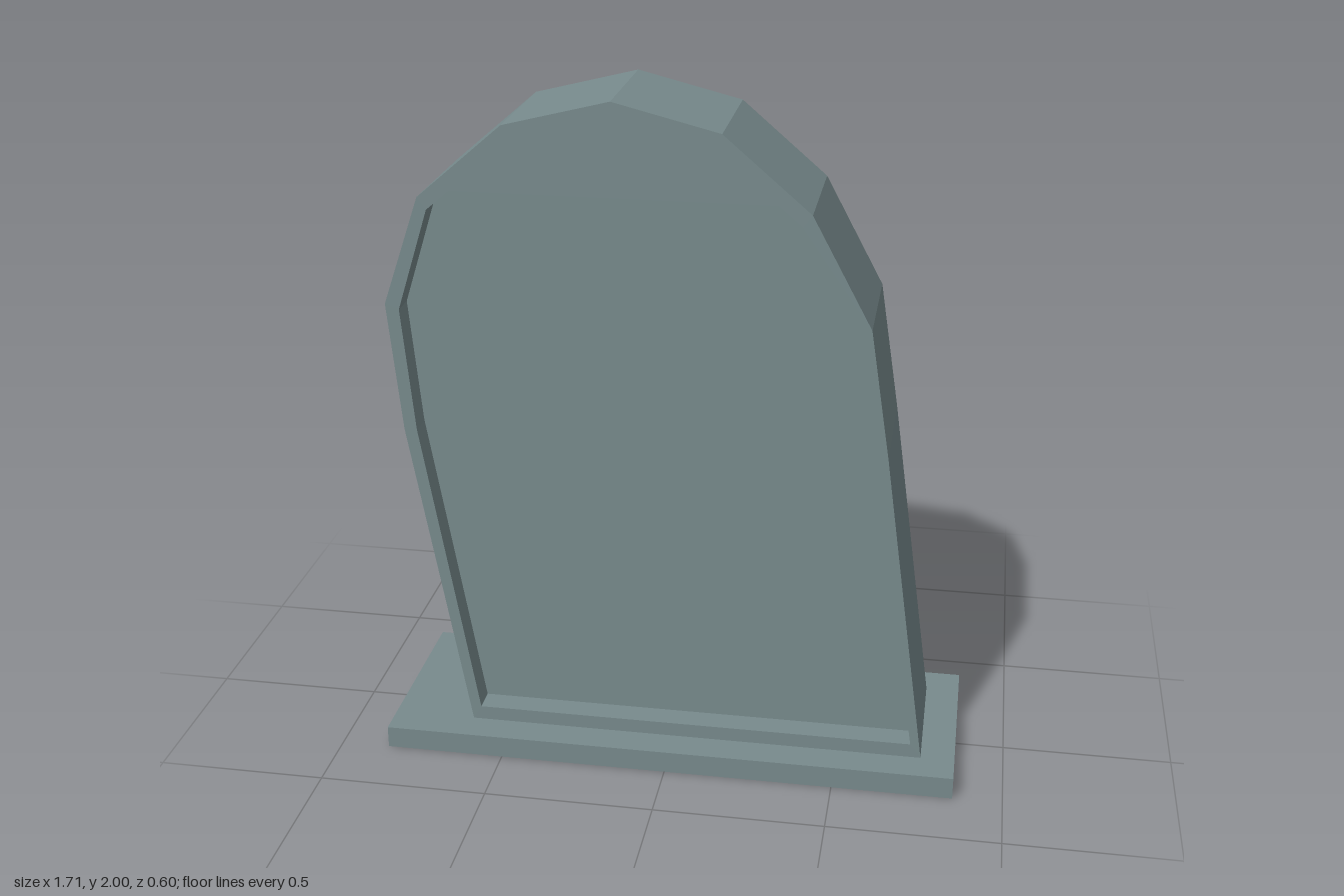
import * as THREE from 'three';

// Leaning slab outline, counter-clockwise from the lower left corner
const outer = [
  [-0.61, 0.067], [0.755, 0.067], [0.62, 1.02], [0.56, 1.4], [0.39, 1.715], [0.145, 1.925],
  [-0.155, 2], [-0.455, 1.925], [-0.7, 1.715], [-0.81, 1.4], [-0.775, 1.02],
];
// Edge of the recessed front panel
const inner = [
  [-0.585, 0.11], [0.723, 0.11], [0.583, 1.02], [0.52, 1.385], [0.365, 1.68], [0.13, 1.88],
  [-0.155, 1.945], [-0.44, 1.88], [-0.675, 1.68], [-0.77, 1.385], [-0.738, 1.02],
];
const points = (list) => list.map(([x, y]) => new THREE.Vector2(x, y));

export function createModel() {
  const group = new THREE.Group();
  const stone = new THREE.MeshStandardMaterial({ color: 0x788b8d, flatShading: true });
  stone.name = 'grey stone';

  function add(name, geometry, y = 0, z = 0) {
    const mesh = new THREE.Mesh(geometry, stone);
    mesh.name = name;
    mesh.position.set(0, y, z);
    group.add(mesh);
  }

  const half = 0.203, recess = 0.075;

  // Plinth
  add('base', new THREE.BoxGeometry(1.71, 0.067, 0.6), 0.0335);

  // Solid slab up to the floor of the recess
  add('slab', new THREE.ExtrudeGeometry(new THREE.Shape(points(outer)),
    { depth: 2 * half - recess, bevelEnabled: false }), 0, -half);

  // Raised rim around the front panel
  const rim = new THREE.Shape(points(outer));
  rim.holes.push(new THREE.Path(points(inner)));
  add('rim', new THREE.ExtrudeGeometry(rim, { depth: recess, bevelEnabled: false }), 0, half - recess);

  return group;
}
